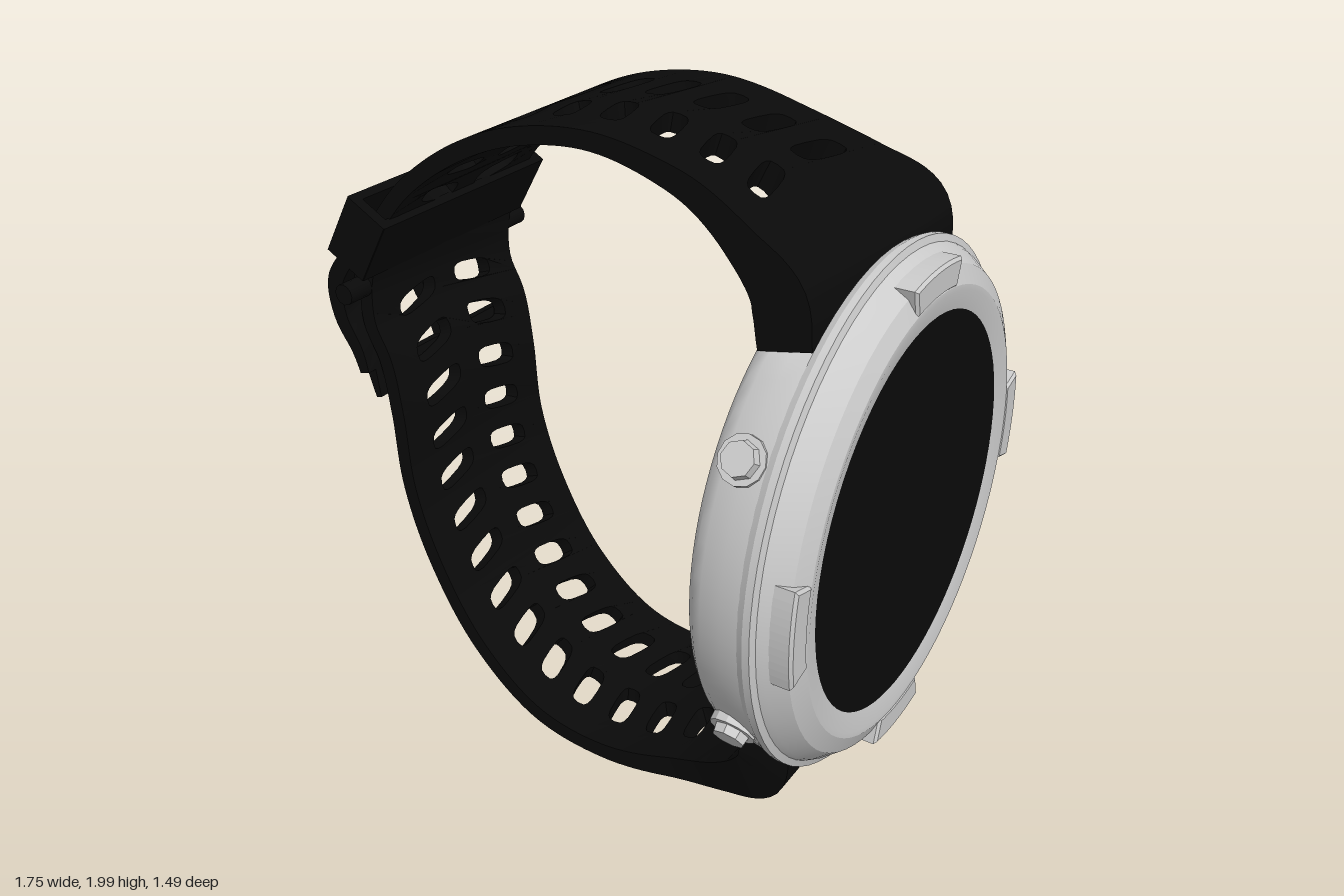
import * as THREE from 'three';
import { mergeGeometries, toCreasedNormals } from 'three/addons/utils/BufferGeometryUtils.js';

const grey = new THREE.MeshStandardMaterial({ color: 0xcccccc });
const black = new THREE.MeshStandardMaterial({ color: 0x0a0a0a });
const V2 = (x, y) => new THREE.Vector2(x, y);

function addMesh(parent, name, geometry, material) {
  const mesh = new THREE.Mesh(geometry, material);
  mesh.name = name;
  parent.add(mesh);
  return mesh;
}

// Turned part around the x axis; profile is [radius, x]
function turned(profile, segments = 72) {
  const g = new THREE.LatheGeometry(profile.map(p => V2(...p)), segments);
  return g.rotateZ(-Math.PI / 2);
}

// Path points are [x, y, half thickness]
const path = pts => new THREE.CatmullRomCurve3(pts.map(p => new THREE.Vector3(...p)));

// Slanted slot outline, in (distance along band, z)
function slot(s, z) {
  const pow = v => Math.sign(v) * Math.abs(v) ** 0.6;
  const pts = [];
  for (let i = 0; i < 16; i++) {
    const a = -i / 16 * Math.PI * 2;
    const dz = 0.083 * pow(Math.sin(a));
    pts.push(V2(s + 0.036 * pow(Math.cos(a)) - 0.22 * dz * Math.sign(z), z + dz));
  }
  return new THREE.Path(pts);
}

// Flat piece of band from s0 to s1 and z0 to z1, optionally with two slots
function cell(s0, s1, z0, z1, holed) {
  const n = 5, low = [], high = [];
  for (let i = 0; i <= n; i++) {
    const s = s0 + (s1 - s0) * i / n;
    low.push(V2(s, z0));
    high.unshift(V2(s, z1));
  }
  const shape = new THREE.Shape([...low, ...high]);
  if (holed) for (const z of [-0.13, 0.13]) shape.holes.push(slot((s0 + s1) / 2, z));
  return new THREE.ExtrudeGeometry(shape, { depth: 1, bevelEnabled: false });
}

// Bend flat pieces along a path; width(s) scales z
function bend(cells, curve, width) {
  const g = mergeGeometries(cells), p = g.attributes.position, length = curve.getLength();
  for (let i = 0; i < p.count; i++) {
    const s = p.getX(i), u = Math.min(1, Math.max(0, s / length));
    const c = curve.getPointAt(u), t = curve.getTangentAt(u);
    const l = Math.hypot(t.x, t.y), k = (2 * p.getZ(i) - 1) * c.z / l;
    p.setXYZ(i, c.x + t.y * k, c.y - t.x * k, p.getY(i) * width(s));
  }
  return toCreasedNormals(g, 0.7);
}

// Band flares towards the case
const flare = s => 1 + 0.27 * (1 - THREE.MathUtils.smoothstep(s, 0.08, 0.55));

function band(curve) {
  const length = curve.getLength(), cells = [], pitch = 0.147, start = 0.315;
  for (let i = 0; i < 3; i++) cells.push(cell(i * start / 3, (i + 1) * start / 3, -0.325, 0.325));
  let s = start;
  for (; s + pitch < length - 0.06; s += pitch) cells.push(cell(s, s + pitch, -0.325, 0.325, true));
  cells.push(cell(s, length, -0.325, 0.325));
  return bend(cells, curve, flare);
}

export function createModel() {
  const watch = new THREE.Group();
  watch.name = 'wristwatch';

  // Case body, cut flat where the bands meet it, with a lip at the back
  const body = turned([[0, 0.562], [0.66, 0.562], [0.68, 0.57], [0.695, 0.585], [0.7, 0.59], [0.715, 0.62],
    [0.725, 0.68], [0.735, 0.735], [0.735, 0.75]], 96);
  const p = body.attributes.position;
  for (let i = 0; i < p.count; i++) {
    const lim = p.getX(i) < 0.587 ? 0.645 : 0.59;
    if (p.getX(i) < 0.74) p.setY(i, THREE.MathUtils.clamp(p.getY(i), -lim, lim));
  }
  const head = new THREE.Group();
  head.name = 'watchHead';
  head.position.y = 1;
  watch.add(head);
  body.deleteAttribute('normal');
  addMesh(head, 'caseBody', toCreasedNormals(body, 0.6), grey);

  // Bezel, screen and back cover
  const bezel = turned([[0.5, 0.735], [0.735, 0.735], [0.745, 0.755], [0.745, 0.775], [0.725, 0.782], [0.715, 0.8],
    [0.68, 0.845], [0.665, 0.852], [0.63, 0.868], [0.615, 0.868], [0.562, 0.856], [0.56, 0.84]], 72);
  addMesh(head, 'bezel', toCreasedNormals(bezel, 0.35), grey);
  addMesh(head, 'screen', toCreasedNormals(turned([[0.565, 0.84], [0.562, 0.856], [0, 0.856]]), 0.5), black);
  addMesh(head, 'backCover', toCreasedNormals(turned([[0, 0.522], [0.5, 0.522], [0.53, 0.53], [0.545, 0.545],
    [0.545, 0.556], [0.635, 0.556], [0.64, 0.566]]), 0.5), black);

  // Four raised bezel tabs
  for (let i = 0; i < 4; i++) {
    const shape = new THREE.Shape();
    const a = 0.19;
    shape.absarc(0, 0, 0.7, -a, a, false);
    shape.absarc(0, 0, 0.635, a * 0.95, -a * 0.95, true);
    const g = new THREE.ExtrudeGeometry(shape, { depth: 0.06, bevelThickness: 0.008, bevelSize: 0.008,
      bevelSegments: 1, curveSegments: 6 });
    const tab = addMesh(head, 'bezelTab', g.rotateZ(i * Math.PI / 2).rotateY(Math.PI / 2), grey);
    tab.position.x = 0.802;
  }

  // Four faceted push buttons, each with a collar
  for (const sy of [-1, 1]) for (const sz of [-1, 1]) {
    const button = new THREE.Group();
    button.name = 'button';
    const dir = new THREE.Vector3(0, 0.54 * sy, 0.842 * sz).normalize();
    button.position.copy(dir).multiplyScalar(0.73).setX(0.67);
    button.quaternion.setFromUnitVectors(new THREE.Vector3(0, 1, 0), dir);
    const collar = new THREE.CylinderGeometry(0.064, 0.064, 0.05, 12);
    addMesh(button, 'buttonCollar', toCreasedNormals(collar, 0.4), grey).position.y = -0.015;
    const cap = new THREE.CylinderGeometry(0.045, 0.056, 0.06, 8);
    addMesh(button, 'buttonCap', toCreasedNormals(cap, 0.4), grey).position.y = 0.004;
    head.add(button);
  }

  // Upper and lower perforated bands
  const upper = path([[0.66, 1.59, 0.075], [0.632, 1.72, 0.078], [0.5, 1.82, 0.052], [0.3, 1.915, 0.035],
    [0.05, 1.973, 0.026], [-0.2, 1.945, 0.025], [-0.4, 1.865, 0.025], [-0.58, 1.74, 0.024],
    [-0.68, 1.63, 0.024], [-0.765, 1.5, 0.024], [-0.79, 1.4, 0.024]]);
  const lower = path([[0.66, 0.41, 0.075], [0.64, 0.29, 0.076], [0.5, 0.18, 0.05], [0.3, 0.088, 0.035],
    [0.05, 0.036, 0.026], [-0.2, 0.076, 0.025], [-0.42, 0.25, 0.025], [-0.575, 0.5, 0.025],
    [-0.66, 0.75, 0.024], [-0.685, 1, 0.024], [-0.715, 1.17, 0.024], [-0.765, 1.28, 0.024],
    [-0.765, 1.4, 0.022], [-0.73, 1.52, 0.02]]);
  addMesh(watch, 'upperBand', band(upper), black);
  addMesh(watch, 'lowerBand', band(lower), black);

  // Buckle frame bulging outwards, with its prong
  const frame = path([[-0.79, 1.5, 0.025], [-0.845, 1.41, 0.028], [-0.835, 1.3, 0.026],
    [-0.78, 1.2, 0.022], [-0.74, 1.05, 0.01]]);
  const end = frame.getLength(), bar = 0.09, cells = [];
  cells.push(cell(0, bar, -0.37, 0.37), cell(end - bar, end, -0.34, 0.34));
  for (let i = 0; i < 3; i++) {
    const step = (end - 2 * bar) / 3, s = bar + i * step;
    for (const [a, b] of [[-0.37, -0.28], [-0.035, 0.035], [0.28, 0.37]]) cells.push(cell(s, s + step, a, b));
  }
  addMesh(watch, 'buckleFrame', bend(cells, frame, () => 1), black);
  const pin = new THREE.CylinderGeometry(0.032, 0.032, 0.82, 12).rotateX(Math.PI / 2);
  addMesh(watch, 'bucklePin', toCreasedNormals(pin, 0.6), black).position.set(-0.775, 1.4, 0);

  // Keeper loop around both bands
  const keeper = new THREE.Group();
  keeper.name = 'keeperLoop';
  keeper.position.set(-0.745, 1.565, 0);
  keeper.rotation.z = -0.51;
  for (const s of [-1, 1]) {
    addMesh(keeper, 'keeperPlate', new THREE.BoxGeometry(0.028, 0.205, 0.74), black).position.x = s * 0.06;
    addMesh(keeper, 'keeperSide', new THREE.BoxGeometry(0.145, 0.205, 0.035), black).position.z = s * 0.355;
  }
  watch.add(keeper);
  return watch;
}
